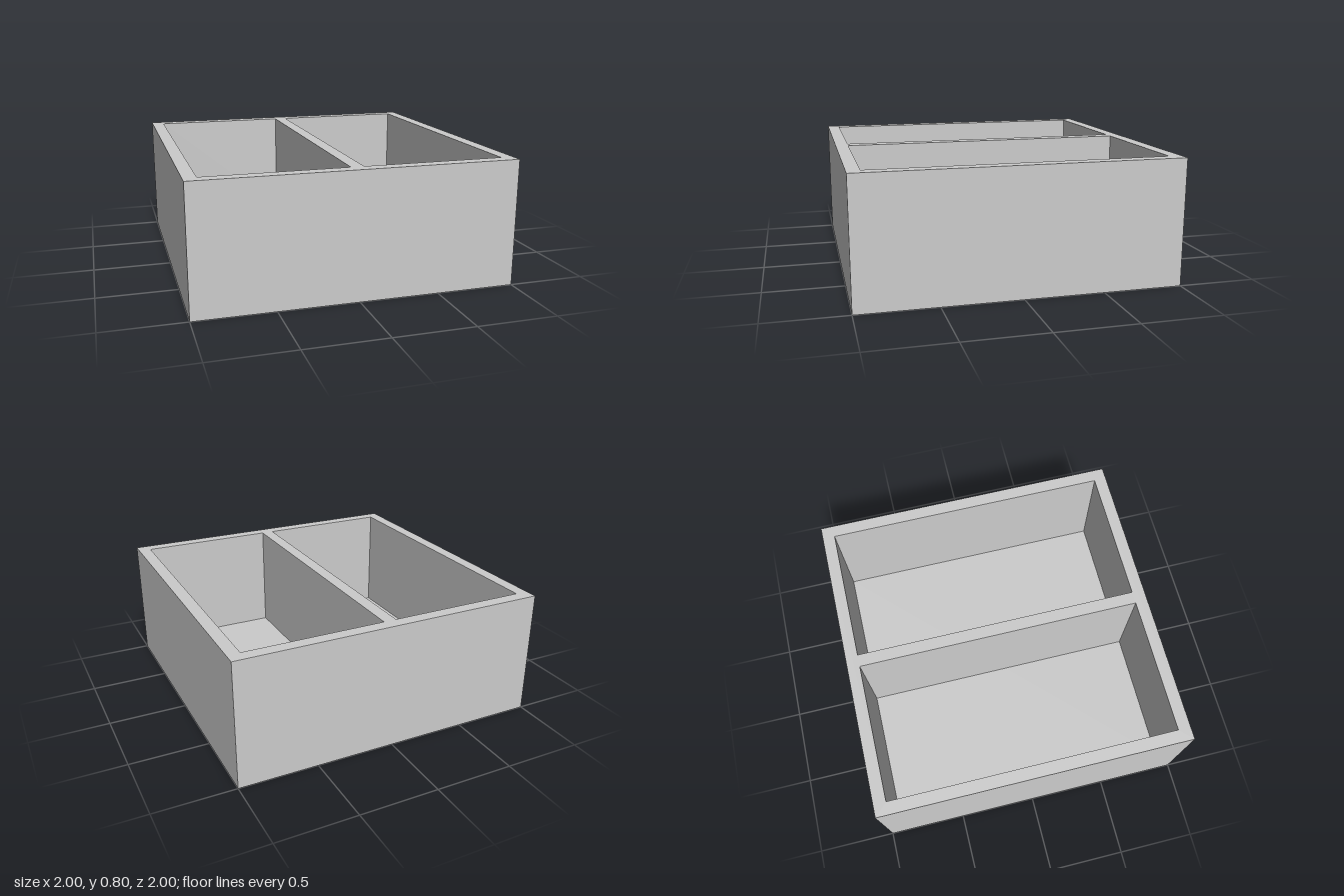
import * as THREE from 'three';

const SIZE = 2, HEIGHT = 0.8, WALL = 0.08, FLOOR = 0.08;

// Trace an axis-aligned rectangle onto a Shape or Path
function rectangle(path, x0, y0, x1, y1) {
  path.moveTo(x0, y0);
  path.lineTo(x1, y0);
  path.lineTo(x1, y1);
  path.lineTo(x0, y1);
  path.closePath();
  return path;
}

export function createModel() {
  const group = new THREE.Group();
  group.name = 'dividedTray';
  const material = new THREE.MeshStandardMaterial({ color: 0xcccccc });
  const half = SIZE / 2, inner = half - WALL;

  // Floor slab
  const floor = new THREE.Mesh(new THREE.BoxGeometry(SIZE, FLOOR, SIZE), material);
  floor.name = 'floor';
  floor.position.y = FLOOR / 2;
  group.add(floor);

  // Outer walls and central divider: a square with two compartment openings
  const plan = rectangle(new THREE.Shape(), -half, -half, half, half);
  for (const [x0, x1] of [[-inner, -WALL / 2], [WALL / 2, inner]]) {
    plan.holes.push(rectangle(new THREE.Path(), x0, -inner, x1, inner));
  }
  const wallGeometry = new THREE.ExtrudeGeometry(plan, { depth: HEIGHT - FLOOR, bevelEnabled: false });
  wallGeometry.rotateX(-Math.PI / 2);
  const walls = new THREE.Mesh(wallGeometry, material);
  walls.name = 'wallsAndDivider';
  walls.position.y = FLOOR;
  group.add(walls);

  return group;
}
